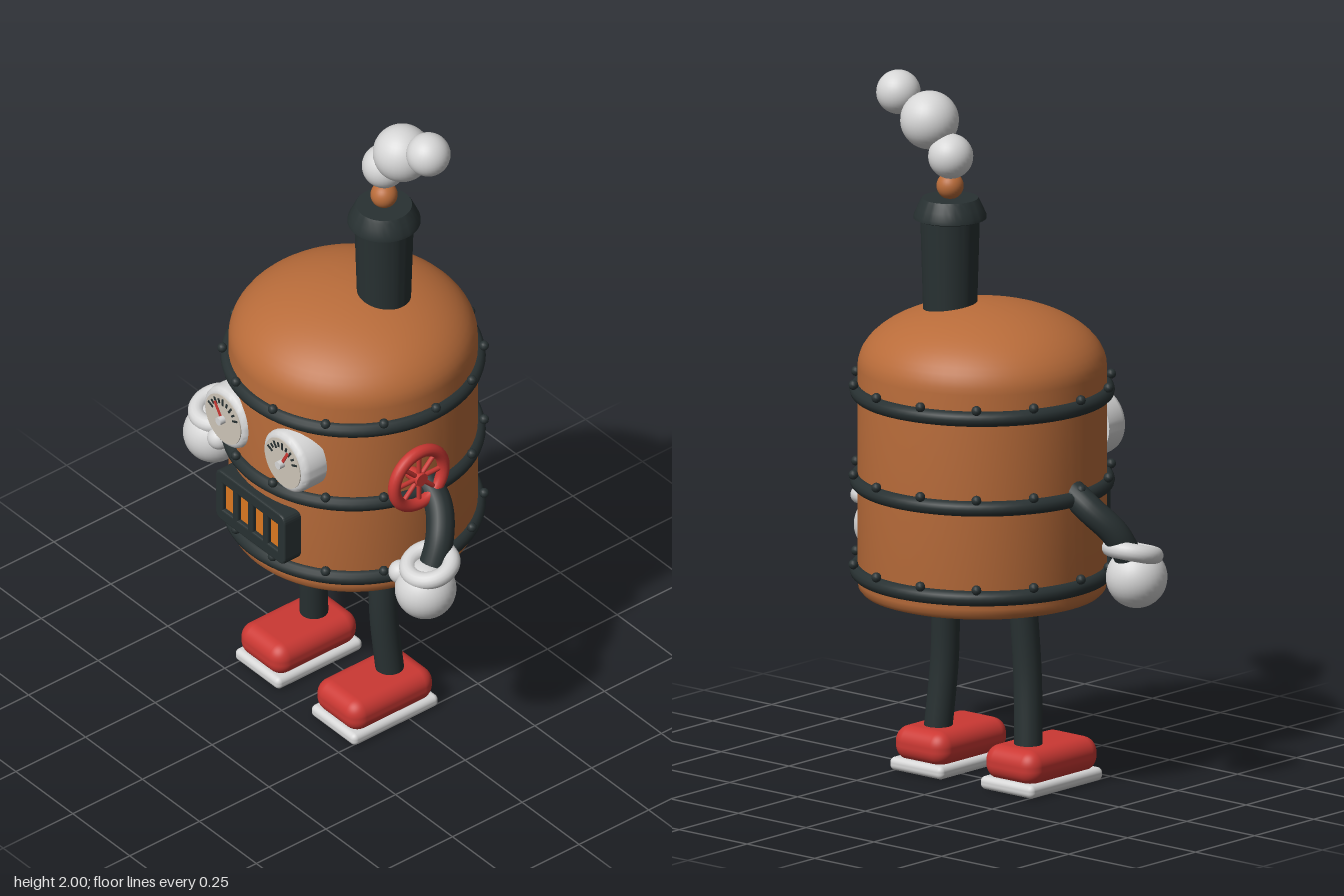
import * as THREE from 'three';
import { RoundedBoxGeometry } from 'three/addons/geometries/RoundedBoxGeometry.js';
import { toCreasedNormals } from 'three/addons/utils/BufferGeometryUtils.js';

const material = (name, color) => {
  const m = new THREE.MeshStandardMaterial({ color });
  m.name = name;
  return m;
};
const V = (x, y, z) => new THREE.Vector3(x, y, z);

export function createModel() {
  const copper = material('copper', 0xb96c3a);
  const iron = material('dark iron', 0x283132);
  const red = material('red', 0xcb3833);
  const white = material('white', 0xd6d6d6);
  const dial = material('dial beige', 0xcdc5b8);
  const glow = material('furnace orange', 0xdc7820);

  const root = new THREE.Group();
  root.name = 'boilerRobot';
  const CX = -0.002, CZ = -0.008;

  const add = (parent, name, geometry, mat, x = 0, y = 0, z = 0) => {
    const mesh = new THREE.Mesh(geometry, mat);
    mesh.name = name;
    mesh.position.set(x, y, z);
    parent.add(mesh);
    return mesh;
  };
  const group = (name, x = 0, y = 0, z = 0, parent = root) => {
    const g = new THREE.Group();
    g.name = name;
    g.position.set(x, y, z);
    parent.add(g);
    return g;
  };
  const ball = (r) => new THREE.SphereGeometry(r, 32, 20);
  const lathe = (points, crease = 0.6) => toCreasedNormals(
    new THREE.LatheGeometry(points.map(([x, y]) => new THREE.Vector2(x, y)), 64), crease);

  // Boiler: straight wall, rounded foot and elliptical dome
  const profile = [[0, 0.535], [0.315, 0.535], [0.333, 0.541], [0.344, 0.553], [0.347, 0.57], [0.347, 1.185]];
  for (let i = 1; i <= 16; i++) {
    const a = (i / 16) * Math.PI / 2;
    profile.push([i === 16 ? 0 : 0.347 * Math.cos(a), 1.185 + 0.182 * Math.sin(a)]);
  }
  add(root, 'boiler', lathe(profile), copper, CX, 0, CZ);

  // Iron bands with rivets
  const rivet = new THREE.SphereGeometry(0.014, 12, 8);
  for (const y of [0.603, 0.86, 1.117]) {
    const band = group('band', CX, y, CZ);
    add(band, 'hoop', new THREE.TorusGeometry(0.347, 0.022, 12, 72).rotateX(Math.PI / 2), iron);
    for (let i = 0; i < 14; i++) {
      const a = (i / 14) * Math.PI * 2;
      add(band, 'rivet', rivet, iron, 0.364 * Math.cos(a), 0.028, 0.364 * Math.sin(a));
    }
  }

  // Chimney, ember and smoke
  const chimney = group('chimney', 0.074, 0, -0.057);
  add(chimney, 'pipe', lathe([[0, 1.3], [0.074, 1.3], [0.083, 1.61], [0, 1.61]]), iron);
  add(chimney, 'cap', lathe([[0, 1.602], [0.092, 1.602], [0.102, 1.606], [0.101, 1.616],
    [0.092, 1.636], [0.083, 1.655], [0.078, 1.663], [0, 1.663]]), iron);
  add(chimney, 'ember', ball(0.038), copper, 0, 1.697, 0);
  for (const [x, y, r] of [[0.062, 1.785, 0.063], [0.14, 1.876, 0.082], [0.255, 1.938, 0.062]]) {
    add(root, 'smokePuff', ball(r), white, x, y, -0.068);
  }

  // Pressure gauges
  const gauge = (x, needleAngle) => {
    const g = group('gauge', x, 0.987, 0);
    const rim = lathe([[0, 0.27], [0.095, 0.27], [0.095, 0.328], [0.092, 0.34], [0.085, 0.347], [0.078, 0.349], [0, 0.349]]);
    add(g, 'rim', rim.rotateX(Math.PI / 2), white);
    add(g, 'dial', new THREE.CylinderGeometry(0.077, 0.077, 0.004, 48).rotateX(Math.PI / 2), dial, 0, 0, 0.35);
    for (let i = 0; i < 9; i++) {
      const a = (i - 4) * 0.29, long = i % 2 === 0;
      const tick = add(g, 'tick', new THREE.BoxGeometry(0.006, long ? 0.022 : 0.014, 0.003), iron,
        -Math.sin(a) * 0.058, Math.cos(a) * 0.058, 0.353);
      tick.rotation.z = a;
    }
    const needle = add(g, 'needle', new THREE.BoxGeometry(0.009, 0.06, 0.003).translate(0, 0.027, 0), red, 0, 0, 0.356);
    needle.rotation.z = needleAngle;
    add(g, 'needleHub', new THREE.CylinderGeometry(0.012, 0.012, 0.02, 20).rotateX(Math.PI / 2), white, 0, 0, 0.36);
  };
  gauge(-0.133, 0.6);
  gauge(0.128, -0.5);

  // Furnace grate: rounded frame with four slots over a glowing plate
  const roundRect = (Type, x, y, w, h, r) => {
    const p = new Type(), l = x - w / 2, b = y - h / 2;
    p.moveTo(l + r, b);
    p.lineTo(l + w - r, b).quadraticCurveTo(l + w, b, l + w, b + r);
    p.lineTo(l + w, b + h - r).quadraticCurveTo(l + w, b + h, l + w - r, b + h);
    p.lineTo(l + r, b + h).quadraticCurveTo(l, b + h, l, b + h - r);
    p.lineTo(l, b + r).quadraticCurveTo(l, b, l + r, b);
    return p;
  };
  const frame = roundRect(THREE.Shape, 0, 0, 0.292, 0.158, 0.02);
  for (let i = 0; i < 4; i++) {
    frame.holes.push(roundRect(THREE.Path, (i - 1.5) * 0.066, 0, 0.054, 0.102, 0.004));
  }
  const grate = group('furnaceGrate', -0.002, 0.727, 0);
  add(grate, 'frame', new THREE.ExtrudeGeometry(frame, {
    depth: 0.07, bevelThickness: 0.006, bevelSize: 0.006, bevelSegments: 3, curveSegments: 6,
  }), iron, 0, 0, 0.287);
  add(grate, 'glowPlate', new THREE.BoxGeometry(0.27, 0.13, 0.009), glow, 0, 0, 0.346);

  // Valve wheel on the left flank
  const valve = group('valveWheel', 0.37, 0.938, 0.06);
  add(valve, 'wheelRim', new THREE.TorusGeometry(0.088, 0.018, 14, 48).rotateY(Math.PI / 2), red);
  for (let i = 0; i < 4; i++) {
    const spoke = add(valve, 'spoke', new THREE.CylinderGeometry(0.007, 0.007, 0.17, 10), red);
    spoke.rotation.x = i * Math.PI / 4;
  }
  add(valve, 'hub', new THREE.CylinderGeometry(0.02, 0.02, 0.05, 20).rotateZ(Math.PI / 2), red, -0.01, 0, 0);

  // Limbs, one set per side
  const tube = (points, r) => new THREE.TubeGeometry(new THREE.CatmullRomCurve3(points), 32, r, 20);
  for (const s of [-1, 1]) {
    const side = s < 0 ? 'right' : 'left';

    const arm = group(side + 'Arm', CX, 0, 0);
    add(arm, 'sleeve', tube([V(s * 0.31, 0.885, -0.005), V(s * 0.39, 0.83, 0.005),
      V(s * 0.445, 0.765, 0.045), V(s * 0.465, 0.66, 0.1)], 0.04), iron);
    const cuff = add(arm, 'cuff', new THREE.TorusGeometry(0.062, 0.025, 16, 40).rotateX(Math.PI / 2), white,
      s * 0.464, 0.708, 0.096);
    cuff.rotation.x = 0.27;
    add(arm, 'hand', ball(0.086), white, s * 0.465, 0.632, 0.112);
    add(arm, 'thumb', ball(0.034), white, s * 0.398, 0.668, 0.147);

    const leg = group(side + 'Leg', CX, 0, 0);
    add(leg, 'shin', tube([V(s * 0.139, 0.6, -0.004), V(s * 0.144, 0.5, 0.002), V(s * 0.153, 0.32, 0.008),
      V(s * 0.168, 0.1, -0.005)], 0.04), iron);
    add(leg, 'shoe', new RoundedBoxGeometry(0.192, 0.1, 0.3, 6, 0.044), red, s * 0.167, 0.078, 0.051);
    add(leg, 'sole', new RoundedBoxGeometry(0.196, 0.038, 0.308, 4, 0.016), white, s * 0.167, 0.019, 0.051);
  }
  return root;
}
